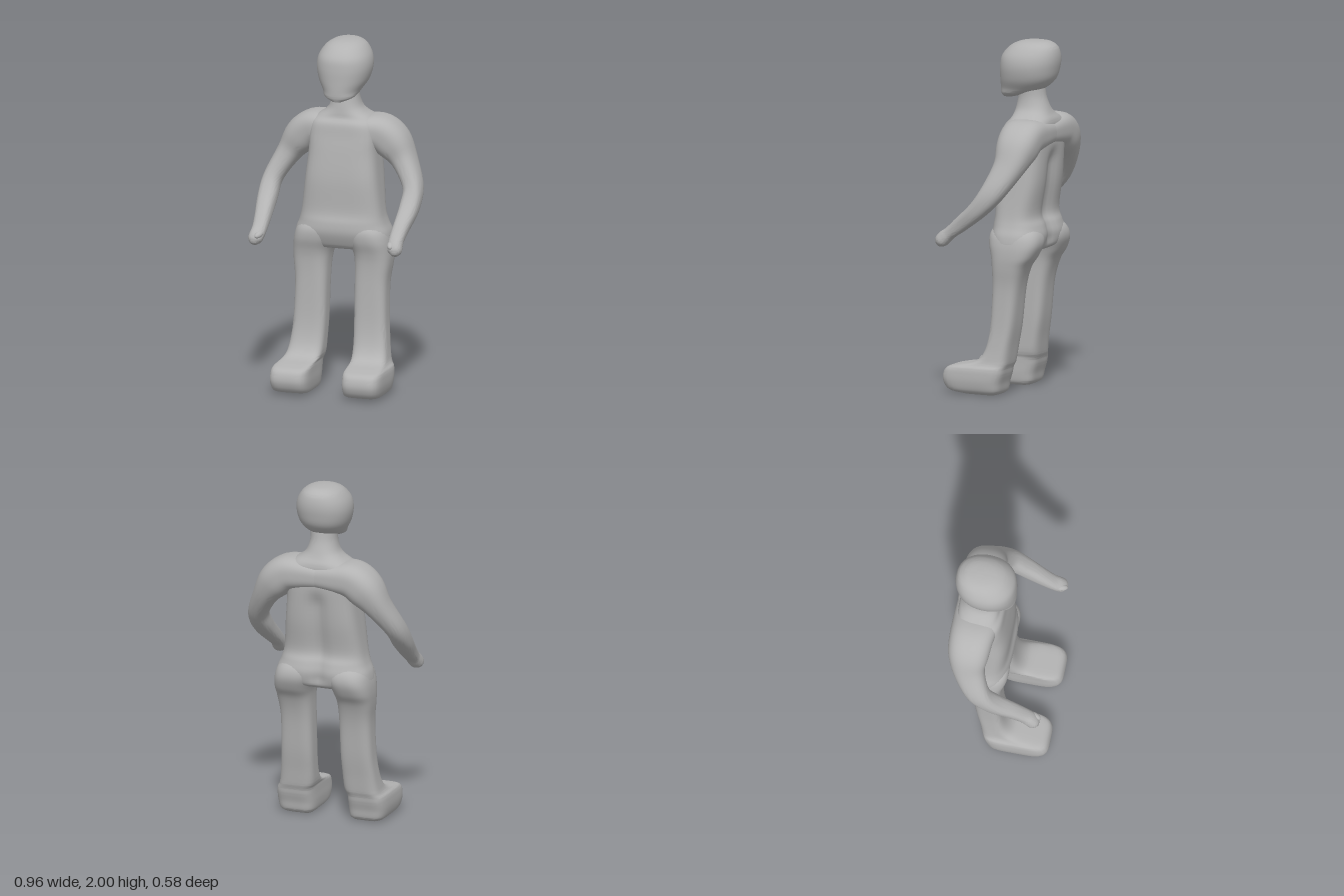
import * as THREE from 'three';
import { toCreasedNormals } from 'three/addons/utils/BufferGeometryUtils.js';

const SEG = 48;

// Smoothly subdivides a list of section rows (Catmull-Rom on every column).
function refine(rows, steps = 5) {
  const out = [];
  const last = rows.length - 1;
  const row = (i) => rows[Math.min(Math.max(i, 0), last)];
  for (let i = 0; i < last; i++) {
    for (let s = 0; s < steps; s++) {
      const t = s / steps;
      const [a, b, c, d] = [row(i - 1), row(i), row(i + 1), row(i + 2)];
      out.push(b.map((p, k) => p + 0.5 * t * (c[k] - a[k]
        + t * (2 * a[k] - 5 * p + 4 * c[k] - d[k]
        + t * (3 * (p - c[k]) + d[k] - a[k])))));
    }
  }
  out.push(rows[last]);
  return out;
}

// Skins superellipse sections { c, u, v, n }, with u x v along the path.
function loft(sections, rule) {
  const pos = [];
  const index = [];
  const p = new THREE.Vector3();
  for (const { c, u, v, n } of sections) {
    for (let j = 0; j < SEG; j++) {
      const a = (j / SEG) * Math.PI * 2;
      const cos = Math.cos(a), sin = Math.sin(a);
      const r = Math.pow(Math.abs(cos) ** n + Math.abs(sin) ** n, -1 / n);
      p.copy(c).addScaledVector(u, r * cos).addScaledVector(v, r * sin);
      if (rule) rule(p);
      pos.push(p.x, p.y, p.z);
    }
  }
  const rings = sections.length;
  for (let i = 0; i < rings - 1; i++) {
    for (let j = 0; j < SEG; j++) {
      const a = i * SEG + j, b = i * SEG + (j + 1) % SEG;
      index.push(a, b, b + SEG, a, b + SEG, a + SEG);
    }
  }
  // End caps
  const first = sections[0].c, end = sections[rings - 1].c;
  pos.push(first.x, first.y, first.z, end.x, end.y, end.z);
  const top = (rings - 1) * SEG, centre = rings * SEG;
  for (let j = 0; j < SEG; j++) {
    const k = (j + 1) % SEG;
    index.push(centre, k, j, centre + 1, top + j, top + k);
  }
  const g = new THREE.BufferGeometry();
  g.setAttribute('position', new THREE.Float32BufferAttribute(pos, 3));
  g.setIndex(index);
  return toCreasedNormals(g, 0.9);
}

// Level sections, bottom to top: [y, x0, x1, zFront, zBack, squareness]
const upright = (rows, rule) => loft(refine(rows).map(([y, x0, x1, zf, zb, n]) => ({
  c: new THREE.Vector3((x0 + x1) / 2, y, (zf + zb) / 2),
  u: new THREE.Vector3((x1 - x0) / 2, 0, 0),
  v: new THREE.Vector3(0, 0, -(zf - zb) / 2),
  n,
})), rule);

// Sections along a bent path: [x, y, z, halfWidth, halfDepth, squareness]
function limb(rows) {
  const fine = refine(rows);
  const pts = fine.map(([x, y, z]) => new THREE.Vector3(x, y, z));
  return loft(fine.map(([, , , w, d, n], i) => {
    const t = pts[Math.min(i + 1, pts.length - 1)].clone().sub(pts[Math.max(i - 1, 0)]).normalize();
    const v = new THREE.Vector3(0, 0, 1).addScaledVector(t, -t.z).normalize();
    const u = v.clone().cross(t);
    return { c: pts[i], u: u.multiplyScalar(w), v: v.multiplyScalar(d), n };
  }));
}

const symmetric = ([y, w, zf, zb, n]) => [y, -w, w, zf, zb, n];

const torsoRows = [
  [0.81, 0.20, 0.0, -0.20, 3], [0.835, 0.275, 0.02, -0.24, 3],
  [0.90, 0.275, 0.045, -0.258, 3], [0.96, 0.252, 0.045, -0.245, 3],
  [1.03, 0.235, 0.03, -0.222, 3.5], [1.20, 0.215, 0.03, -0.25, 4],
  [1.35, 0.20, 0.015, -0.265, 4], [1.45, 0.195, 0.0, -0.268, 4.5],
  [1.52, 0.187, -0.01, -0.268, 4], [1.555, 0.165, -0.03, -0.262, 3],
  [1.585, 0.12, -0.035, -0.245, 2.5], [1.62, 0.092, -0.04, -0.23, 2.2],
  [1.68, 0.078, -0.05, -0.21, 2], [1.75, 0.08, -0.06, -0.2, 2],
];

const headRows = [
  [1.667, 0.03, 0.045, -0.01, 2.2], [1.69, 0.085, 0.054, -0.10, 2.2],
  [1.725, 0.108, 0.056, -0.20, 2.2], [1.78, 0.14, 0.056, -0.262, 2.2],
  [1.85, 0.156, 0.054, -0.285, 2.2], [1.91, 0.148, 0.042, -0.29, 2.2],
  [1.96, 0.118, 0.0, -0.278, 2.2], [1.985, 0.085, -0.045, -0.25, 2.2],
  [1.996, 0.05, -0.09, -0.22, 2.2], [2.0, 0.012, -0.14, -0.17, 2],
];

const legRows = [
  [0.0, 0.125, 0.285, 0.17, -0.03, 5], [0.02, 0.107, 0.315, 0.26, -0.055, 5],
  [0.07, 0.1, 0.328, 0.292, -0.065, 5], [0.12, 0.1, 0.328, 0.288, -0.08, 5],
  [0.15, 0.1, 0.322, 0.262, -0.085, 5], [0.165, 0.1, 0.31, 0.2, -0.09, 5],
  [0.18, 0.095, 0.302, 0.12, -0.095, 4.5], [0.21, 0.09, 0.295, 0.07, -0.1, 4],
  [0.28, 0.088, 0.285, 0.035, -0.11, 4], [0.40, 0.085, 0.275, 0.015, -0.13, 4],
  [0.60, 0.083, 0.272, 0.008, -0.155, 3.5], [0.72, 0.08, 0.284, 0.01, -0.19, 3.2],
  [0.79, 0.068, 0.288, 0.02, -0.235, 3], [0.86, 0.04, 0.282, 0.04, -0.262, 2.8],
  [0.92, 0.03, 0.262, 0.04, -0.25, 2.6], [0.97, 0.06, 0.21, 0.01, -0.2, 2.4],
];

const armRows = [
  [0.0, 1.475, -0.15, 0.075, 0.132, 3], [0.10, 1.475, -0.155, 0.085, 0.132, 3],
  [0.20, 1.465, -0.165, 0.10, 0.124, 2.7], [0.275, 1.405, -0.165, 0.10, 0.115, 2.5],
  [0.345, 1.31, -0.148, 0.07, 0.088, 2.4], [0.415, 1.18, -0.085, 0.055, 0.068, 2.4],
  [0.422, 1.08, 0.0, 0.055, 0.053, 2.6], [0.412, 0.99, 0.11, 0.046, 0.044, 2.6],
  [0.408, 0.935, 0.18, 0.042, 0.036, 2.5], [0.412, 0.905, 0.215, 0.042, 0.04, 2.3],
  [0.418, 0.88, 0.238, 0.038, 0.036, 2.2], [0.42, 0.862, 0.252, 0.018, 0.018, 2],
];

// Spine furrow running down the back and between the buttocks
function spineFurrow(p) {
  if (p.z > -0.12) return;
  const fade = THREE.MathUtils.smoothstep(p.y, 0.8, 0.88) * (1 - THREE.MathUtils.smoothstep(p.y, 1.3, 1.42));
  p.z += 0.03 * fade * Math.exp(-((p.x / 0.05) ** 2));
}

export function createModel() {
  const model = new THREE.Group();
  model.name = 'figure';
  const clay = new THREE.MeshStandardMaterial({ color: 0xb3b3b3 });
  clay.name = 'clay grey';

  const add = (name, geometry) => {
    const mesh = new THREE.Mesh(geometry, clay);
    mesh.name = name;
    model.add(mesh);
    return mesh;
  };

  add('torsoAndNeck', upright(torsoRows.map(symmetric), spineFurrow));
  add('head', upright(headRows.map(symmetric)));

  for (const [side, s] of [['left', 1], ['right', -1]]) {
    // Leg with foot
    add(`${side}Leg`, upright(legRows.map(([y, a, b, ...rest]) =>
      (s > 0 ? [y, a, b, ...rest] : [y, -b, -a, ...rest]))));
    // Shoulder, arm and hand
    add(`${side}Arm`, limb(armRows.map(([x, ...rest]) => [s * x, ...rest])));
    // Thumb
    const thumb = add(`${side}Thumb`, new THREE.SphereGeometry(1, 20, 14));
    thumb.scale.set(0.02, 0.018, 0.038);
    thumb.position.set(s * 0.392, 0.914, 0.236);
    thumb.rotation.set(0.25, s * 0.25, 0);
  }
  return model;
}
